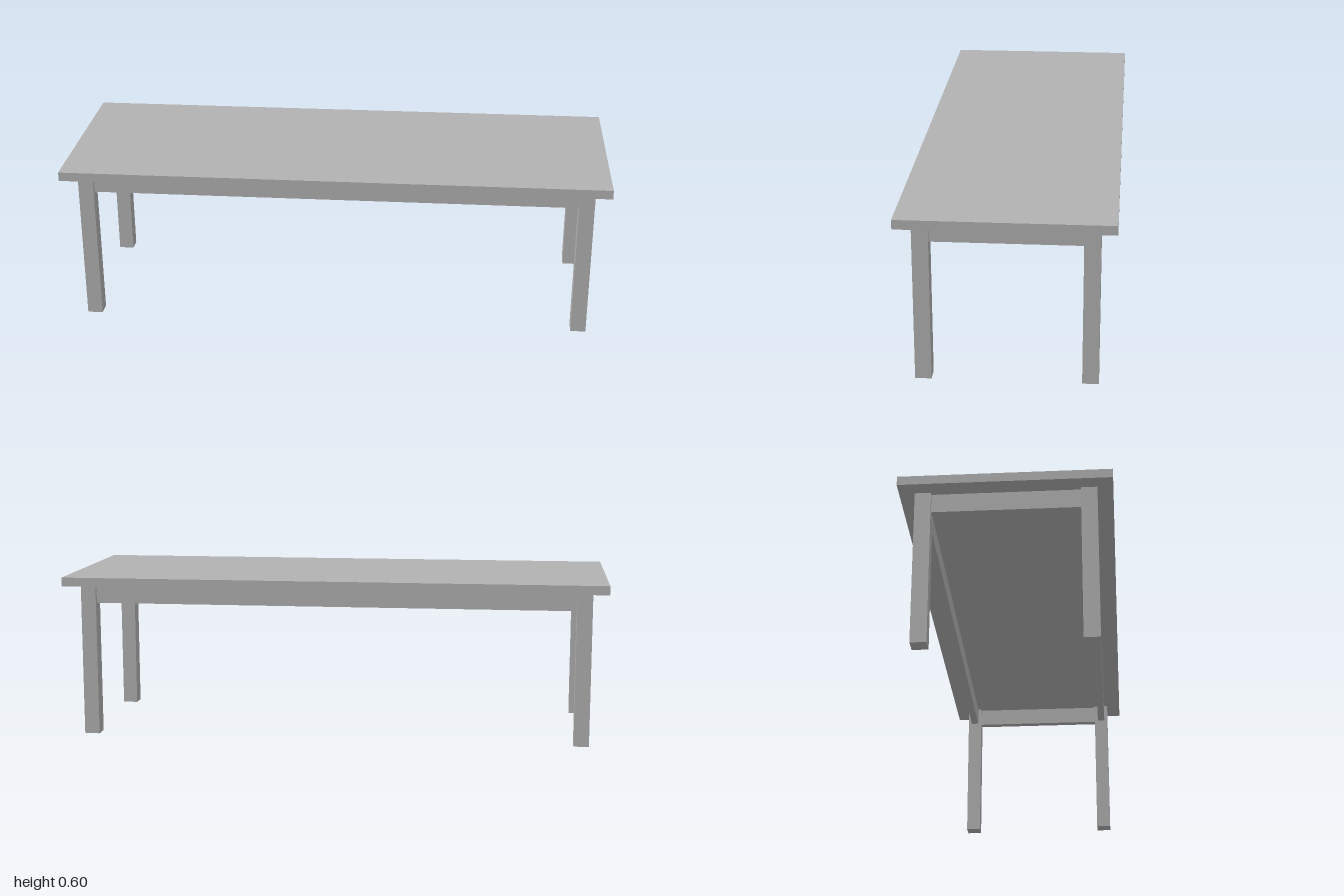
import * as THREE from 'three';

export function createModel() {
  const table = new THREE.Group();
  table.name = 'table';
  const grey = new THREE.MeshStandardMaterial({ color: 0xb2b2b2 });
  grey.name = 'light grey';

  const addBox = (name, w, h, d, x, y, z) => {
    const mesh = new THREE.Mesh(new THREE.BoxGeometry(w, h, d), grey);
    mesh.name = name;
    mesh.position.set(x, y, z);
    table.add(mesh);
  };

  const height = 0.6, topThickness = 0.033;
  const under = height - topThickness; // underside of the top
  const leg = 0.056, legX = 0.916, legZ = 0.283;
  const apronHeight = 0.069, apronThickness = 0.028;
  const apronY = under - apronHeight / 2;

  // Flat top
  addBox('tableTop', 2, topThickness, 0.73, 0, height - topThickness / 2, 0);

  for (const s of [-1, 1]) {
    const side = s > 0 ? 'left' : 'right';
    const end = s > 0 ? 'front' : 'back';

    // Square legs at the corners
    addBox(side + 'FrontLeg', leg, under, leg, s * legX, under / 2, legZ);
    addBox(side + 'BackLeg', leg, under, leg, s * legX, under / 2, -legZ);

    // Aprons centred on the legs and running between them
    addBox(end + 'Apron', 2 * legX - leg, apronHeight, apronThickness, 0, apronY, s * legZ);
    addBox(side + 'Apron', apronThickness, apronHeight, 2 * legZ - leg, s * legX, apronY, 0);
  }
  return table;
}
